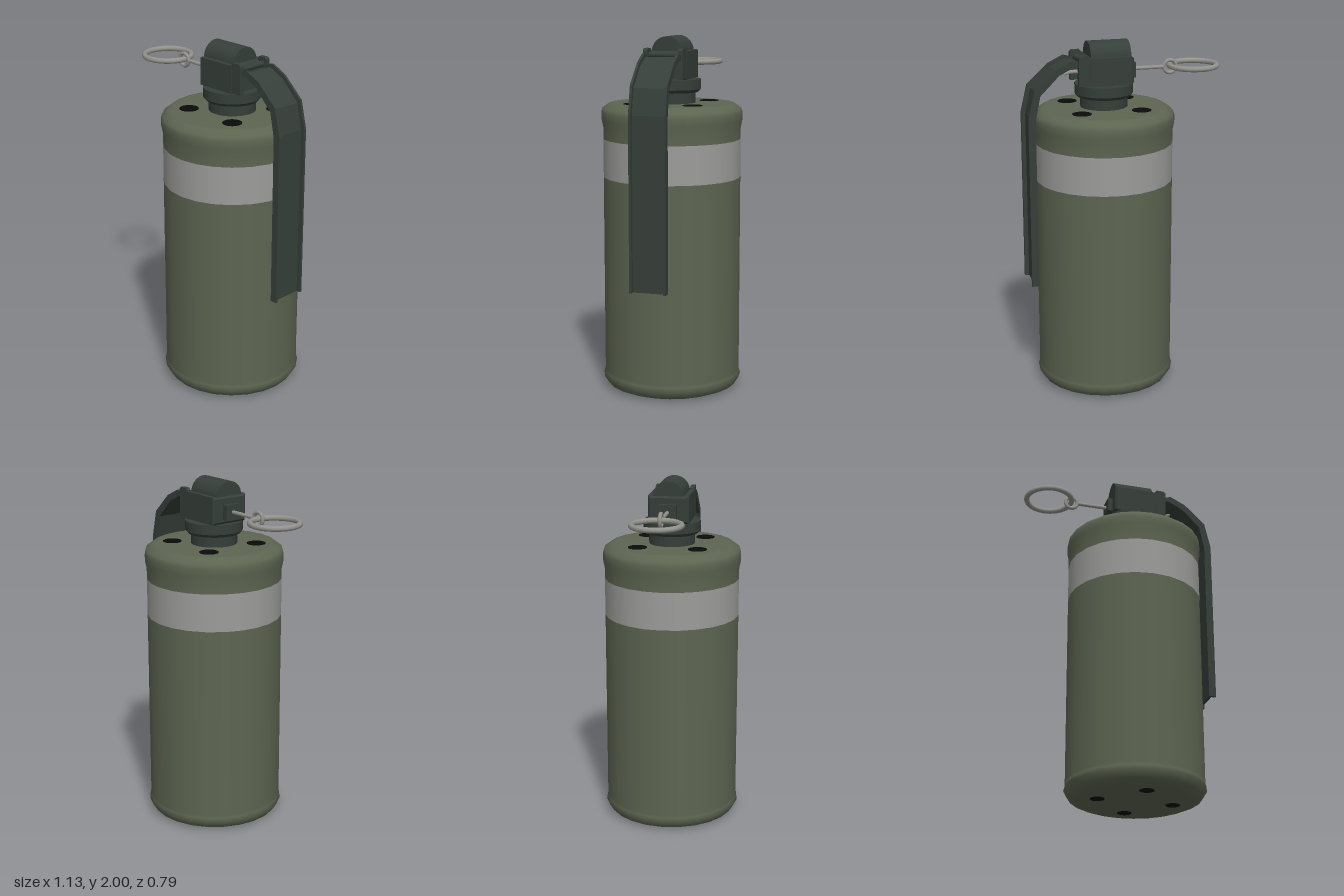
import * as THREE from 'three';

const mat = (name, color) => {
  const m = new THREE.MeshStandardMaterial({ color });
  m.name = name;
  return m;
};
const CX = 0.11; // canister axis

export function createModel() {
  const model = new THREE.Group();
  model.name = 'canister';
  const olive = mat('olive', 0x5d6551);
  const grey = mat('bandGrey', 0x9c9d9a);
  const dark = mat('darkGreen', 0x363f39);
  const steel = mat('steel', 0x94938d);
  const black = mat('black', 0x0b0b0b);

  const add = (name, geo, material, x = 0, y = 0, z = 0, parent = model) => {
    const mesh = new THREE.Mesh(geo, material);
    mesh.name = name;
    mesh.position.set(x, y, z);
    parent.add(mesh);
    return mesh;
  };
  const box = (name, x0, x1, y0, y1, z0, z1) =>
    add(name, new THREE.BoxGeometry(x1 - x0, y1 - y0, z1 - z0), dark, (x0 + x1) / 2, (y0 + y1) / 2, (z0 + z1) / 2);
  const lathe = (name, pts, material, sides = 24) =>
    add(name, new THREE.LatheGeometry(pts.map(p => new THREE.Vector2(...p)), sides), material, CX);
  const shape = pts => new THREE.Shape(pts.map(p => new THREE.Vector2(...p)));

  // Canister: lower wall, painted band and rolled top
  lathe('lowerBody', [[0, 0], [0.31, 0], [0.33, 0.003], [0.37, 0.02], [0.395, 0.06], [0.388, 0.085], [0.387, 0.1], [0.387, 1.215]], olive);
  lathe('paintedBand', [[0.387, 1.215], [0.387, 1.43]], grey);
  lathe('upperBody', [[0.387, 1.43], [0.387, 1.49], [0.396, 1.535], [0.397, 1.575], [0.39, 1.6], [0.355, 1.626], [0.33, 1.63], [0, 1.63]], olive);

  // Vent holes: diagonal on the lid, on the axes underneath
  for (let i = 0; i < 4; i++) {
    const a = i * Math.PI / 2, b = a + Math.PI / 4;
    const disc = r => new THREE.CylinderGeometry(r, r, 0.004, 16);
    add('topVent', disc(0.054), black, CX + 0.24 * Math.cos(b), 1.631, 0.24 * Math.sin(b));
    add('bottomVent', disc(0.041), black, CX + 0.215 * Math.cos(a), 0.001, 0.215 * Math.sin(a));
  }

  // Neck and threaded collar
  add('neck', new THREE.CylinderGeometry(0.132, 0.132, 0.09, 20), dark, CX, 1.665);
  add('collarChamfer', new THREE.CylinderGeometry(0.164, 0.148, 0.018, 20), dark, CX, 1.699);
  add('collar', new THREE.CylinderGeometry(0.164, 0.164, 0.055, 20), dark, CX, 1.735);

  // Fuze head: bevelled block with a round crown running along x
  const bevel = 0.012;
  const headShape = shape([[-0.103, 1.777], [0.103, 1.777], [0.103, 1.908], [-0.103, 1.908]]);
  const head = new THREE.ExtrudeGeometry(headShape, {
    depth: 0.236, bevelEnabled: true, bevelThickness: bevel, bevelSize: bevel, bevelSegments: 1
  });
  head.rotateY(Math.PI / 2);
  add('fuzeHead', head, dark, -0.023);

  const crown = new THREE.CylinderGeometry(0.088, 0.088, 0.23, 28);
  crown.rotateZ(Math.PI / 2);
  add('fuzeCrown', crown, dark, 0.09, 1.912);
  box('pinBoss', -0.063, -0.03, 1.79, 1.875, -0.05, 0.05);

  // Lever hinge
  box('hingeWeb', 0.2, 0.238, 1.768, 1.91, -0.1, 0.1);
  for (const s of [-1, 1]) {
    const ear = new THREE.ExtrudeGeometry(
      shape([[0.215, 1.768], [0.28, 1.768], [0.28, 1.925], [0.27, 1.937], [0.225, 1.937], [0.215, 1.925]]),
      { depth: 0.026, bevelEnabled: false });
    add('hingeEar', ear, dark, 0, 0, s * 0.1 - 0.013);
  }
  const axle = new THREE.CylinderGeometry(0.016, 0.016, 0.19, 12);
  axle.rotateX(Math.PI / 2);
  add('hingeAxle', axle, dark, 0.25, 1.9);

  // Safety lever: a bent channel with its flanges facing outward
  const outer = [[0.25, 1.893], [0.317, 1.912], [0.407, 1.868], [0.528, 1.755], [0.564, 1.6], [0.564, 0.63]];
  const inner = [[0.25, 1.865], [0.3, 1.878], [0.388, 1.835], [0.495, 1.727], [0.523, 1.59], [0.523, 0.63]];
  const mid = inner.map((p, i) => p.map((v, k) => v + (outer[i][k] - v) * 0.42));
  const strip = (name, top, z0, z1) => add(name,
    new THREE.ExtrudeGeometry(shape([...top, ...inner.slice().reverse()]), { depth: z1 - z0, bevelEnabled: false }),
    dark, 0, 0, z0);
  strip('leverPlate', mid, -0.095, 0.095);
  strip('leverFlange', outer, 0.09, 0.104);
  strip('leverFlange', outer, -0.104, -0.09);

  // Pull ring and pin with its eye and spread tips
  const ring = new THREE.TorusGeometry(0.135, 0.016, 8, 24);
  ring.rotateX(Math.PI / 2);
  add('pullRing', ring, steel, -0.415, 1.832);
  add('pinEye', new THREE.TorusGeometry(0.036, 0.011, 8, 16), steel, -0.278, 1.832);
  const pin = new THREE.CylinderGeometry(0.011, 0.011, 0.55, 8);
  pin.rotateZ(Math.PI / 2);
  add('pin', pin, steel, 0.035, 1.832);
  for (const s of [-1, 1]) {
    const path = new THREE.LineCurve3(new THREE.Vector3(0.3, 1.832, 0), new THREE.Vector3(0.34, 1.832 + s * 0.008, s * 0.012));
    add('pinTip', new THREE.TubeGeometry(path, 1, 0.009, 8), steel);
  }
  return model;
}
